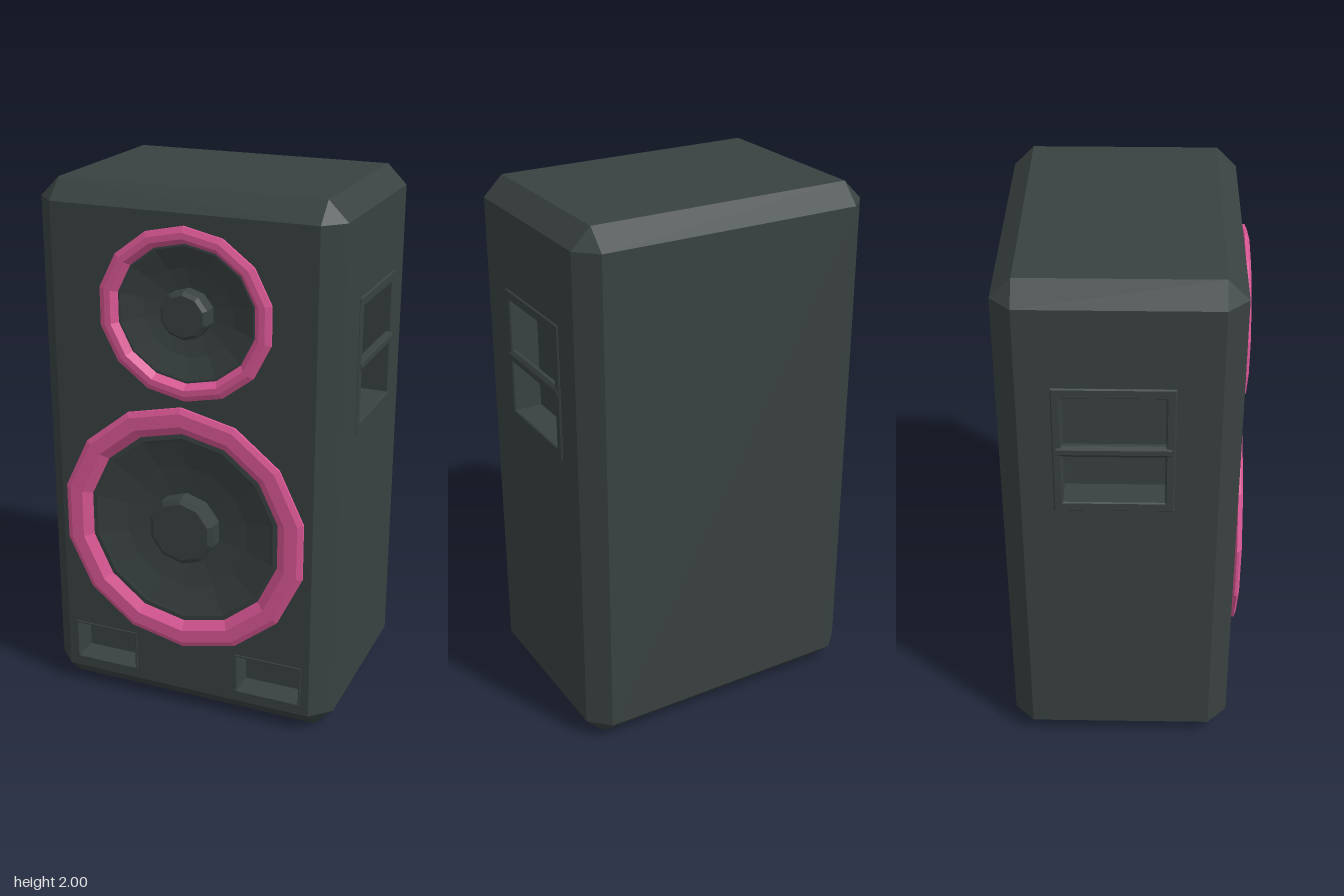
import * as THREE from 'three';

const casing = new THREE.MeshStandardMaterial({ name: 'charcoal', color: 0x394141, flatShading: true });
const accent = new THREE.MeshStandardMaterial({ name: 'pink', color: 0xdc5896, flatShading: true });

// Cabinet half sizes, bevel and centre
const HALF = [0.572, 1, 0.4135], BEVEL = 0.073, Z0 = -0.0165;
const FRONT = Z0 + HALF[2];

function mesh(name, geo, mat = casing) {
  const g = geo.index ? geo.toNonIndexed() : geo;
  g.computeVertexNormals();
  const m = new THREE.Mesh(g, mat);
  m.name = name;
  return m;
}

const rect = (w, h, x = 0, y = 0, Kind = THREE.Path) => new Kind().setFromPoints(
  [[-1, -1], [1, -1], [1, 1], [-1, 1]].map(([a, b]) => new THREE.Vector2(x + a * w / 2, y + b * h / 2)));

const polygon = (rx, ry, x, y, n = 14) => new THREE.Path().setFromPoints(
  Array.from({ length: n }, (_, i) => {
    const a = i / n * Math.PI * 2;
    return new THREE.Vector2(x + rx * Math.sin(a), y + ry * Math.cos(a));
  }));

function panel(w, h, holes = []) {
  const s = rect(w, h, 0, 0, THREE.Shape);
  s.holes.push(...holes);
  return new THREE.ShapeGeometry(s);
}

// Inside of a box, open at local z = 0
function recess(w, h, d) {
  const g = new THREE.BoxGeometry(w, h, d).translate(0, 0, -d / 2);
  const idx = Array.from(g.index.array);
  idx.splice(24, 6);
  g.setIndex(idx.reverse());
  return g;
}

// Bevelled rectangular frame lying on local z = 0
function frame(w, h, iw, ih, t) {
  const b = t * 0.7;
  const s = rect(w - 2 * b, h - 2 * b, 0, 0, THREE.Shape);
  s.holes.push(rect(iw + 2 * b, ih + 2 * b));
  return new THREE.ExtrudeGeometry(s, { depth: t - b, bevelEnabled: true, bevelSize: b, bevelThickness: b, bevelSegments: 1 })
    .translate(0, 0, 0);
}

// Bevel strips along the twelve edges and triangles on the eight corners
function bevels() {
  const pos = [], S = [-1, 1];
  const point = (axis, s) => new THREE.Vector3(...s.map((v, i) => v * (HALF[i] - (i === axis ? 0 : BEVEL))));
  const tri = (a, b, c) => {
    const n = b.clone().sub(a).cross(c.clone().sub(a));
    const out = n.dot(a.clone().add(b).add(c)) > 0;
    for (const p of out ? [a, b, c] : [a, c, b]) pos.push(p.x, p.y, p.z);
  };
  for (const x of S) for (const y of S) {
    for (const z of S) tri(...[0, 1, 2].map(i => point(i, [x, y, z])));
    for (let k = 0; k < 3; k++) {
      const i = (k + 1) % 3, j = (k + 2) % 3;
      const at = (axis, e) => {
        const s = [];
        s[i] = x; s[j] = y; s[k] = e;
        return point(axis, s);
      };
      tri(at(i, -1), at(i, 1), at(j, 1));
      tri(at(i, -1), at(j, 1), at(j, -1));
    }
  }
  const g = new THREE.BufferGeometry();
  g.setAttribute('position', new THREE.Float32BufferAttribute(pos, 3));
  return g;
}

// Lathe facing +z, profile given as [radius, z]
const turned = (pts, n) => new THREE.LatheGeometry(pts.map(p => new THREE.Vector2(...p)), n).rotateX(Math.PI / 2);

function speaker(name, x, y, stretch, R, inner, cone, cap) {
  const g = new THREE.Group();
  g.name = name;
  const w = R - inner;
  g.add(mesh('surroundRing', turned([[R - 0.02, 0], [R, 0.01], [R, 0.019], [R - 0.02, 0.028],
    [inner + w * 0.33, 0.028], [inner, 0.004], [inner, -0.002]], 14), accent));
  g.add(mesh('cone', turned([[inner + 0.02, 0.002], [cone + 0.01, 0.005], [cone, 0.002],
    [cone * 0.7, -0.02], [cap * 0.9, -0.035]], 14)));
  g.add(mesh('dustCap', turned([[cap, -0.035], [cap, 0.018], [cap * 0.85, 0.031], [0, 0.031]], 10)));
  g.position.set(x, y, FRONT);
  g.scale.x = stretch;
  return g;
}

function handle(side) {
  const g = new THREE.Group();
  g.name = side > 0 ? 'leftHandle' : 'rightHandle';
  g.add(mesh('handleFrame', frame(0.415, 0.505, 0.35, 0.43, 0.006)));
  g.add(mesh('handleRecess', recess(0.35, 0.43, 0.1)));
  const bar = new THREE.CylinderGeometry(0.0245, 0.0245, 0.39, 8).rotateY(Math.PI / 8).rotateZ(Math.PI / 2);
  const grip = mesh('handleGrip', bar);
  grip.scale.z = 0.7;
  grip.position.z = -0.006;
  g.add(grip);
  g.position.set(side * HALF[0], 1.383, -0.035);
  g.rotation.y = side * Math.PI / 2;
  return g;
}

export function createModel() {
  const model = new THREE.Group();
  model.name = 'loudspeaker';
  const cabinet = new THREE.Group();
  cabinet.name = 'cabinet';
  cabinet.position.set(0, 1, Z0);
  model.add(cabinet);

  // Cabinet panels
  const [w, h, d] = HALF.map(v => 2 * (v - BEVEL)), q = Math.PI / 2;
  const portX = 0.335, portY = 0.19;
  const frontHoles = [
    polygon(0.40, 0.40, 0, -0.247), polygon(0.285, 0.27, 0.019, 0.575),
    rect(0.25, 0.15, portX, portY - 1), rect(0.25, 0.15, -portX, portY - 1),
  ];
  cabinet.add(mesh('frontPanel', panel(w, h, frontHoles).translate(0, 0, HALF[2])));
  cabinet.add(mesh('backPanel', panel(w, h).translate(0, 0, HALF[2]).rotateY(Math.PI)));
  cabinet.add(mesh('topPanel', panel(w, d).translate(0, 0, HALF[1]).rotateX(-q)));
  cabinet.add(mesh('bottomPanel', panel(w, d).translate(0, 0, HALF[1]).rotateX(q)));
  for (const s of [1, -1]) {
    const hole = rect(0.35, 0.43, s * 0.0185, 0.383);
    cabinet.add(mesh(s > 0 ? 'leftPanel' : 'rightPanel',
      panel(d, h, [hole]).translate(0, 0, HALF[0]).rotateY(s * q)));
  }
  cabinet.add(mesh('bevelledEdges', bevels()));

  // Speakers
  model.add(speaker('woofer', 0, 0.753, 1, 0.482, 0.378, 0.35, 0.133));
  model.add(speaker('tweeter', 0.019, 1.575, 1.055, 0.313, 0.25, 0.233, 0.088));

  // Handles and front ports
  for (const s of [1, -1]) {
    model.add(handle(s));
    const port = new THREE.Group();
    port.name = s > 0 ? 'leftPort' : 'rightPort';
    port.add(mesh('portLip', frame(0.264, 0.164, 0.246, 0.146, 0.003)));
    port.add(mesh('portRecess', recess(0.25, 0.15, 0.1)));
    port.position.set(s * portX, portY, FRONT);
    model.add(port);
  }
  return model;
}
